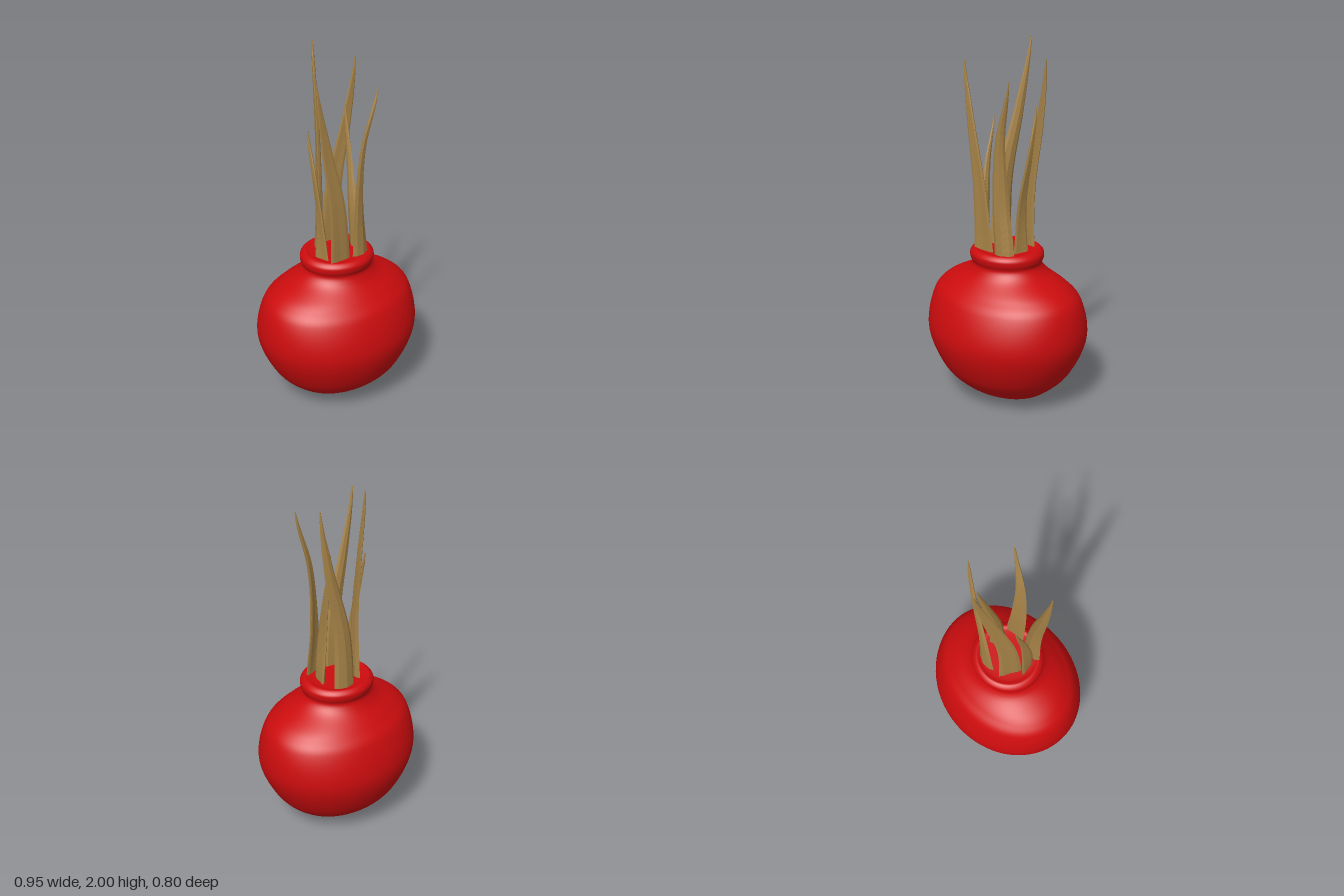
import * as THREE from 'three';

// Skin over closed rings of Vector3, capped at both ends.
function skin(rings) {
  const n = rings[0].length, pos = [], idx = [];
  for (const ring of rings) for (const p of ring) pos.push(p.x, p.y, p.z);
  for (let i = 0; i < rings.length - 1; i++) {
    for (let j = 0; j < n; j++) {
      const a = i * n + j, b = i * n + (j + 1) % n;
      idx.push(a, a + n, b, b, a + n, b + n);
    }
  }
  const top = (rings.length - 1) * n;
  for (let j = 1; j < n - 1; j++) {
    idx.push(0, j, j + 1);
    idx.push(top, top + j + 1, top + j);
  }
  const geo = new THREE.BufferGeometry();
  geo.setAttribute('position', new THREE.Float32BufferAttribute(pos, 3));
  geo.setIndex(idx);
  geo.computeVertexNormals();
  return geo;
}

// Bulb half-width in x, height, half-depth in z.
const BULB = [
  [0.01, 0, 0.01], [0.19, 0.03, 0.14], [0.3, 0.1, 0.25], [0.39, 0.2, 0.335],
  [0.471, 0.4, 0.398], [0.44, 0.6, 0.345], [0.378, 0.67, 0.285], [0.225, 0.755, 0.2],
  [0.197, 0.795, 0.182], [0.206, 0.825, 0.193], [0.205, 0.852, 0.195],
  [0.18, 0.875, 0.172], [0.15, 0.87, 0.145], [0.005, 0.869, 0.005],
];

function bulbGeometry() {
  const curve = new THREE.CatmullRomCurve3(
    BULB.map((p) => new THREE.Vector3(...p)), false, 'centripetal');
  const rings = curve.getPoints(104).map((p) => Array.from({ length: 72 }, (_, j) => {
    const t = j / 72 * Math.PI * 2;
    return new THREE.Vector3(p.x * Math.cos(t), p.y, p.z * Math.sin(t));
  }));
  return skin(rings);
}

// Leaf centre line: [x, z] at four evenly spaced heights from root to tip.
const ROOT = 0.86;
const LEAVES = {
  frontLeftLeaf: { tip: 1.885, width: 0.066, angle: -0.05, twist: 0.15, curl: 0.22,
    path: [[-0.067, 0.11], [-0.09, 0.115], [-0.153, 0.108], [-0.204, 0.104]] },
  frontRightLeaf: { tip: 1.82, width: 0.06, angle: -0.2, twist: -0.3, curl: -0.25,
    path: [[0.075, 0.115], [0.056, 0.121], [0.068, 0.136], [0.143, 0.155]] },
  rightLeaf: { tip: 1.66, width: 0.048, angle: -1.3, twist: -0.3, curl: 0.2,
    path: [[0.107, 0.015], [0.102, 0], [0.118, -0.046], [0.126, -0.09]] },
  backRightLeaf: { tip: 1.91, width: 0.066, angle: 0.1, twist: 0.15, curl: 0.22,
    path: [[0.045, -0.115], [0.067, -0.115], [0.14, -0.102], [0.189, -0.087]] },
  backLeftLeaf: { tip: 2, width: 0.065, angle: -1.2, twist: 0.1, curl: -0.22,
    path: [[-0.085, -0.05], [-0.07, -0.066], [-0.03, -0.137], [-0.004, -0.2]] },
  leftLeaf: { tip: 1.58, width: 0.045, angle: -1.85, twist: 0.4, curl: -0.2,
    path: [[-0.125, 0.035], [-0.132, 0.025], [-0.142, -0.008], [-0.143, -0.06]] },
};

function leafGeometry({ tip, width, angle, twist, curl, path }) {
  const centre = new THREE.SplineCurve(path.map((p) => new THREE.Vector2(...p)));
  const steps = 24, rings = [];
  for (let i = 0; i <= steps; i++) {
    const t = i / steps, c = centre.getPoint(t);
    const y = ROOT + (tip - ROOT) * t;
    const w = Math.max(0.003, width * (1 - t) ** 0.75);
    const a = angle + twist * Math.sin(t * Math.PI);
    const thick = Math.min(w, 0.006 + w * 0.14);
    // lens-shaped blade, bent across its width
    rings.push(Array.from({ length: 8 }, (_, j) => {
      const s = j / 8 * Math.PI * 2, u = Math.cos(s);
      const v = Math.sin(s) * thick + curl * w * (u * u - 0.5);
      return new THREE.Vector3(
        c.x + u * w * Math.cos(a) - v * Math.sin(a), y,
        c.y + u * w * Math.sin(a) + v * Math.cos(a));
    }));
  }
  return skin(rings);
}

export function createModel() {
  const red = new THREE.MeshStandardMaterial({ color: 0xcc0c0e });
  red.name = 'red';
  const straw = new THREE.MeshStandardMaterial({ color: 0xa88448 });
  straw.name = 'straw';
  straw.flatShading = true;

  const model = new THREE.Group();
  model.name = 'bulbWithLeaves';

  const bulb = new THREE.Mesh(bulbGeometry(), red);
  bulb.name = 'bulb';
  model.add(bulb);

  const leaves = new THREE.Group();
  leaves.name = 'leaves';
  for (const [name, spec] of Object.entries(LEAVES)) {
    const leaf = new THREE.Mesh(leafGeometry(spec), straw);
    leaf.name = name;
    leaves.add(leaf);
  }
  model.add(leaves);
  return model;
}
